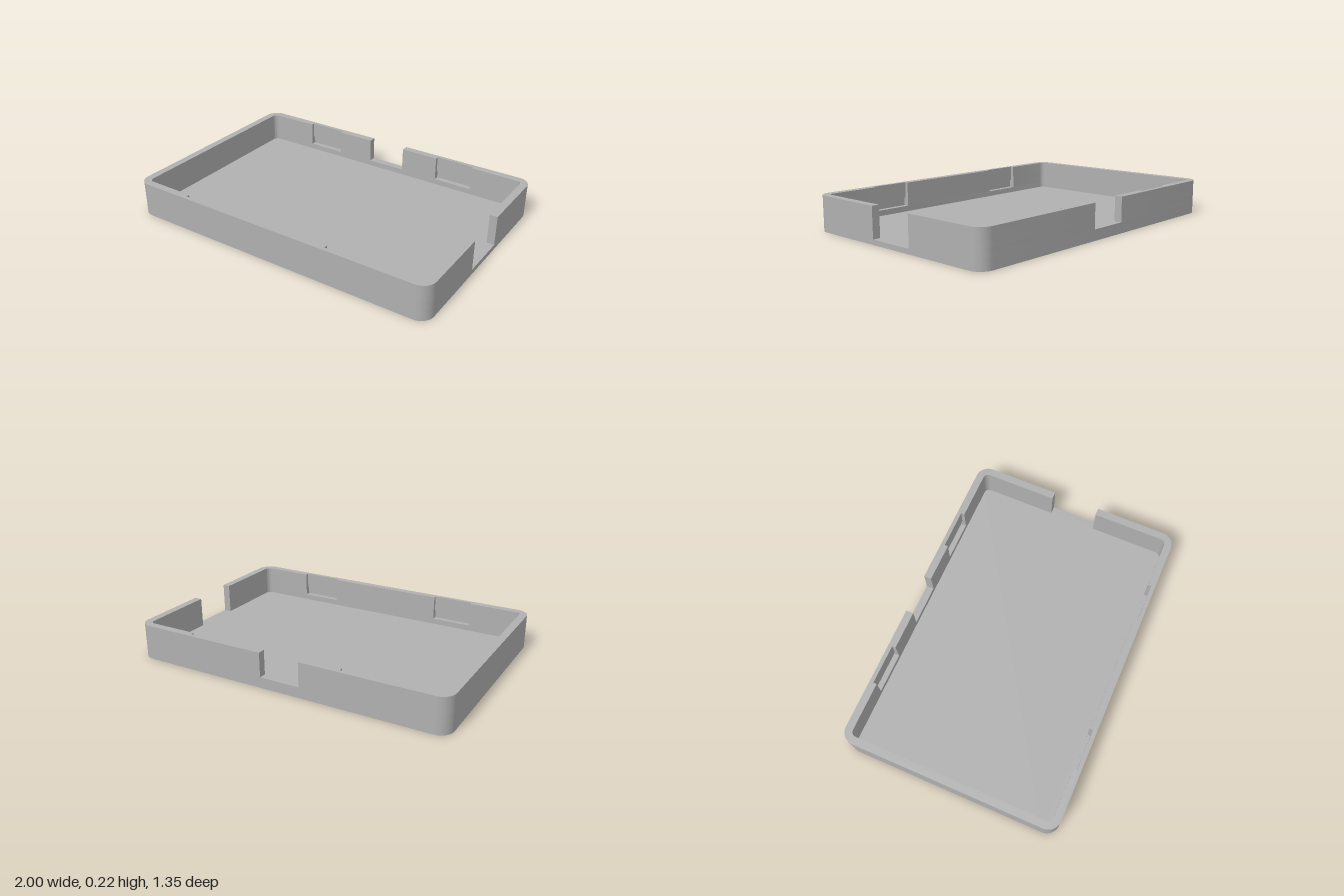
import * as THREE from 'three';
import { toCreasedNormals } from 'three/addons/utils/BufferGeometryUtils.js';

const X = 1, Z = 0.675, WALL = 0.047;           // outer half sizes and wall thickness
const XI = X - WALL, ZI = Z - WALL;             // inner half sizes
const RO = 0.08, RI = 0.032;                    // outer and inner corner radii
const FLOOR = 0.03, LEDGE = 0.065, LIP = 0.115, TOP = 0.215;
const GAP = 0.15;                               // half width of the side opening
const BACK = [-0.13, 0.122];                    // back opening in x
const POCKETS = [[-0.622, -0.373], [0.37, 0.62]];

// Closed plan outline from [x, z, cornerRadius] points
function outline(points) {
  const shape = new THREE.Shape();
  const v = points.map(([x, z]) => new THREE.Vector2(x, -z));
  points.forEach(([, , r = 0], i) => {
    const p = v[i];
    const towards = (q, d) => p.clone().add(q.clone().sub(p).setLength(d));
    const prev = v[(i + v.length - 1) % v.length], next = v[(i + 1) % v.length];
    const a = r ? towards(prev, r) : p;
    if (i === 0) shape.moveTo(a.x, a.y); else shape.lineTo(a.x, a.y);
    if (r) {
      const b = towards(next, r), c = towards(prev, r * 0.448), d = towards(next, r * 0.448);
      shape.bezierCurveTo(c.x, c.y, d.x, d.y, b.x, b.y);
    }
  });
  return shape;
}

// Recess cut into the inner face of a long wall
const recess = (from, to, side, depth) => depth ? [
  [from, side * ZI], [from, side * (ZI + depth)],
  [to, side * (ZI + depth)], [to, side * ZI],
] : [];

// Plan of the walls at one level
function wallPlans(depth, backOpen) {
  const [[a, b], [c, d]] = POCKETS;
  const innerFront = [
    [-XI, ZI, RI], ...recess(a, b, 1, depth), ...recess(c, d, 1, depth),
    [XI, ZI, RI], [XI, GAP],
  ];
  const outerFront = [[X, GAP], [X, Z, RO], [-X, Z, RO], [-X, -Z, RO]];
  const outerCorner = [[X, -Z, RO], [X, -GAP], [XI, -GAP], [XI, -ZI, RI]];
  const rightPocket = recess(d, c, -1, depth), leftPocket = recess(b, a, -1, depth);
  const backInner = [-XI, -ZI, RI];
  if (!backOpen) {
    return [outline([...outerFront, ...outerCorner, ...rightPocket, ...leftPocket, backInner, ...innerFront])];
  }
  return [
    outline([...outerFront, [BACK[0], -Z], [BACK[0], -ZI], ...leftPocket, backInner, ...innerFront]),
    outline([[BACK[1], -Z], ...outerCorner, ...rightPocket, [BACK[1], -ZI]]),
  ];
}

export function createModel() {
  const group = new THREE.Group();
  group.name = 'tray';
  const grey = new THREE.MeshStandardMaterial({ color: 0xb0b0b0 });
  grey.name = 'grey plastic';

  const addLayer = (name, shapes, from, to) => {
    const geo = new THREE.ExtrudeGeometry(shapes, { depth: to - from, bevelEnabled: false, curveSegments: 10 });
    geo.rotateX(-Math.PI / 2);
    geo.translate(0, from, 0);
    const mesh = new THREE.Mesh(toCreasedNormals(geo, Math.PI / 6), grey);
    mesh.name = name;
    group.add(mesh);
  };

  // Floor plate
  addLayer('floor', [outline([[X, Z, RO], [-X, Z, RO], [-X, -Z, RO], [X, -Z, RO]])], 0, FLOOR);
  // Wall base below the back opening
  addLayer('wallBase', wallPlans(0, false), FLOOR, LEDGE);
  // Wall band with the deeper snap grooves
  addLayer('wallGrooveBand', wallPlans(0.034, true), LEDGE, LIP);
  // Upper wall with shallow recesses open at the rim
  addLayer('wallRim', wallPlans(0.022, true), LIP, TOP);
  return group;
}
